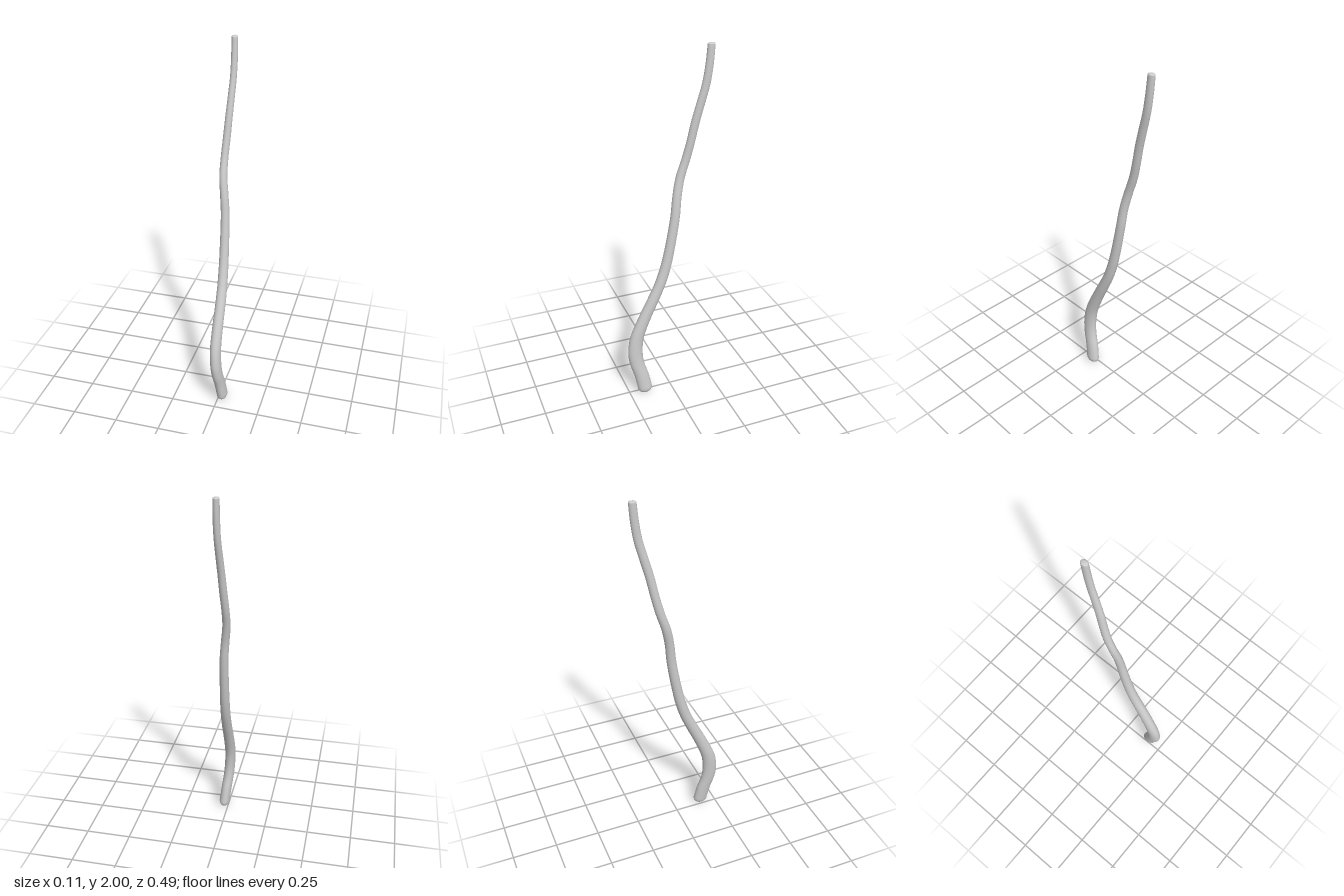
import * as THREE from 'three';

// Stations up the stick: height, centre x, centre z, half-width x, half-width z
const STATIONS = [
  [0.035, 0.022, 0.162, 0.030, 0.042],
  [0.12, 0.013, 0.178, 0.030, 0.042],
  [0.20, 0.004, 0.200, 0.030, 0.042],
  [0.28, -0.002, 0.207, 0.030, 0.042],
  [0.38, -0.006, 0.192, 0.030, 0.040],
  [0.50, -0.006, 0.144, 0.029, 0.037],
  [0.60, -0.005, 0.097, 0.028, 0.035],
  [0.70, -0.006, 0.052, 0.027, 0.032],
  [0.80, -0.008, 0.019, 0.026, 0.030],
  [0.90, -0.010, -0.004, 0.025, 0.028],
  [1.00, -0.012, -0.023, 0.024, 0.027],
  [1.10, -0.015, -0.039, 0.023, 0.026],
  [1.20, -0.023, -0.051, 0.022, 0.025],
  [1.30, -0.034, -0.072, 0.021, 0.025],
  [1.40, -0.035, -0.104, 0.020, 0.024],
  [1.50, -0.030, -0.129, 0.020, 0.023],
  [1.60, -0.025, -0.150, 0.019, 0.023],
  [1.70, -0.020, -0.176, 0.018, 0.023],
  [1.80, -0.016, -0.202, 0.017, 0.022],
  [1.90, -0.015, -0.217, 0.017, 0.021],
  [1.993, -0.016, -0.225, 0.016, 0.020],
];
const SIDES = 32, STEPS = 120, CAP = 6;

function smoothCurve(points) {
  return new THREE.CatmullRomCurve3(points, false, 'catmullrom', 0.5);
}

// Level elliptical rings, with a dome of the given height at each end
function stickGeometry(bottomDome, topDome) {
  const centre = smoothCurve(STATIONS.map(([y, x, z]) => new THREE.Vector3(x, y, z)));
  const radius = smoothCurve(STATIONS.map((s) => new THREE.Vector3(s[3], 0, s[4])));
  const rings = [];
  const addRing = (t, lift, scale) => {
    const c = centre.getPoint(t);
    c.y += lift;
    rings.push({ c, r: radius.getPoint(t).multiplyScalar(scale) });
  };
  for (let i = 0; i < CAP; i++) {
    const a = (i / CAP) * Math.PI / 2;
    addRing(0, -bottomDome * Math.cos(a), Math.sin(a));
  }
  for (let i = 0; i <= STEPS; i++) addRing(i / STEPS, 0, 1);
  for (let i = 1; i <= CAP; i++) {
    const a = (i / CAP) * Math.PI / 2;
    addRing(1, topDome * Math.sin(a), Math.cos(a));
  }

  const positions = [], index = [];
  rings.forEach(({ c, r }, j) => {
    for (let k = 0; k < SIDES; k++) {
      const a = (k / SIDES) * Math.PI * 2;
      positions.push(c.x + r.x * Math.sin(a), c.y, c.z + r.z * Math.cos(a));
      if (j === 0) continue;
      const n = (k + 1) % SIDES, lo = (j - 1) * SIDES, hi = j * SIDES;
      index.push(lo + k, lo + n, hi + n, lo + k, hi + n, hi + k);
    }
  });
  const geometry = new THREE.BufferGeometry();
  geometry.setAttribute('position', new THREE.Float32BufferAttribute(positions, 3));
  geometry.setIndex(index);
  geometry.computeVertexNormals();
  // The dome tips are single points, so their normals are vertical
  const normal = geometry.attributes.normal;
  for (let k = 0; k < SIDES; k++) {
    normal.setXYZ(k, 0, -1, 0);
    normal.setXYZ(normal.count - 1 - k, 0, 1, 0);
  }
  return geometry;
}

export function createModel() {
  const group = new THREE.Group();
  group.name = 'crookedStick';
  const material = new THREE.MeshStandardMaterial({ color: 0xcccccc });
  // Tapering, wandering stick
  const stick = new THREE.Mesh(stickGeometry(0.035, 0.007), material);
  stick.name = 'stick';
  group.add(stick);
  return group;
}
